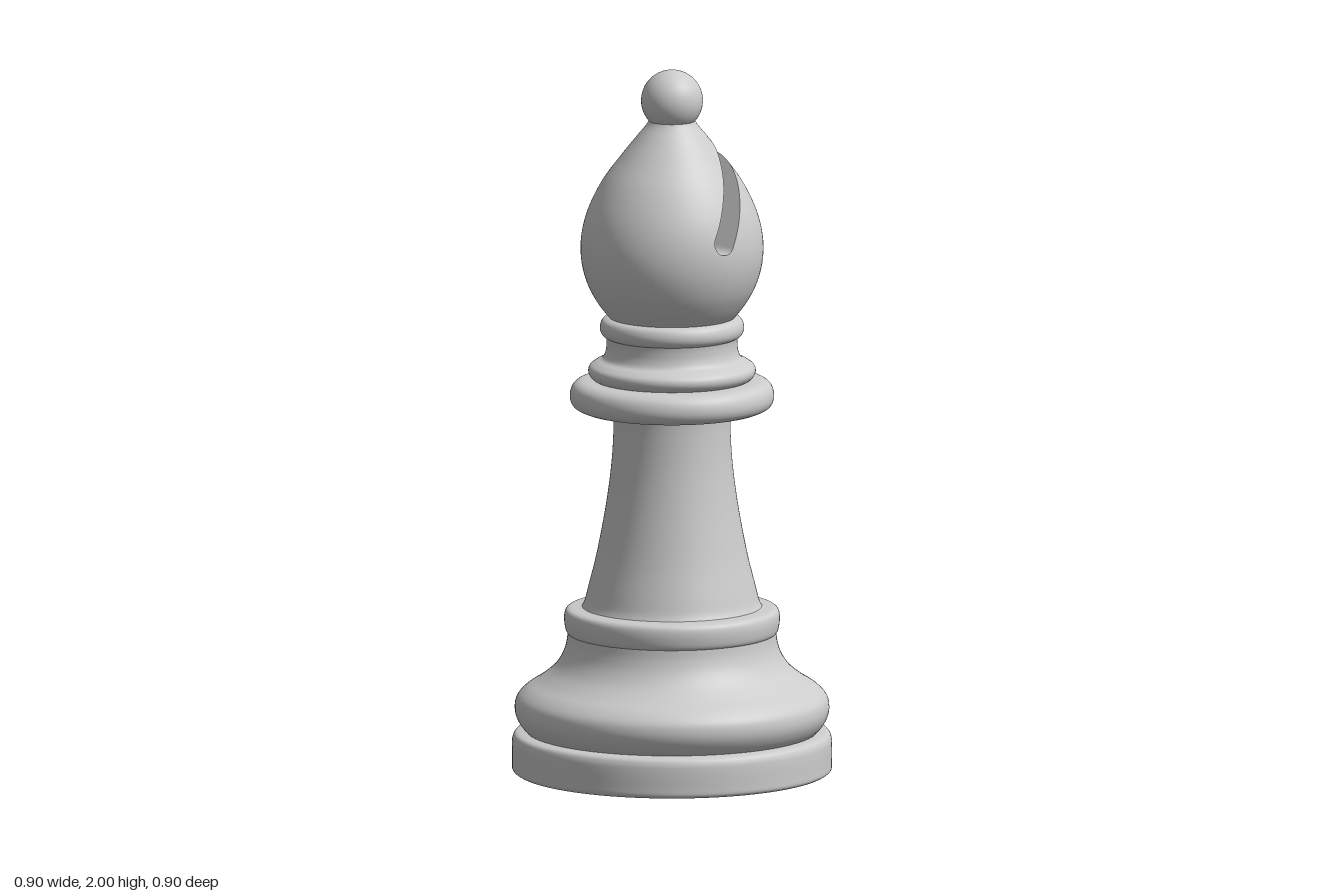
import * as THREE from 'three';

const stone = new THREE.MeshStandardMaterial({ color: 0xcccccc });
stone.name = 'pale grey';

// Lathed part through a few [radius, height] points, smoothed by a spline
function turned(name, pts, smooth = true) {
  const v = pts.map(([r, y]) => new THREE.Vector2(r, y));
  const profile = smooth ? new THREE.SplineCurve(v).getPoints(pts.length * 5) : v;
  profile.forEach(p => { p.x = Math.max(p.x, 0); });
  const mesh = new THREE.Mesh(new THREE.LatheGeometry(profile, 96), stone);
  mesh.name = name;
  return mesh;
}

// Grid surface: fn(v, u) gives a point, optional normalFn gives a normal
function patch(name, rows, cols, fn, normalFn) {
  const pos = [], nor = [], idx = [];
  for (let i = 0; i <= rows; i++) {
    for (let j = 0; j <= cols; j++) {
      pos.push(...fn(i / rows, j / cols));
      if (normalFn) nor.push(...normalFn(i / rows, j / cols));
      if (i < rows && j < cols) {
        const a = i * (cols + 1) + j, b = a + cols + 1;
        idx.push(a, b, a + 1, b, b + 1, a + 1);
      }
    }
  }
  const g = new THREE.BufferGeometry();
  g.setAttribute('position', new THREE.Float32BufferAttribute(pos, 3));
  g.setIndex(idx);
  if (normalFn) g.setAttribute('normal', new THREE.Float32BufferAttribute(nor, 3));
  else g.computeVertexNormals();
  const mesh = new THREE.Mesh(g, stone);
  mesh.name = name;
  return mesh;
}

// Head outline as [height, radius], read by smooth interpolation
const HEAD = [[1.29, 0.172], [1.33, 0.204], [1.38, 0.233], [1.44, 0.252], [1.5, 0.257], [1.56, 0.249],
  [1.62, 0.229], [1.69, 0.192], [1.756, 0.143], [1.81, 0.1], [1.85, 0.068], [1.88, 0.056]];
function radius(y) {
  let k = 0;
  while (k < HEAD.length - 2 && y > HEAD[k + 1][0]) k++;
  const slope = i => {
    const a = HEAD[Math.max(i - 1, 0)], b = HEAD[Math.min(i + 1, HEAD.length - 1)];
    return (b[1] - a[1]) / (b[0] - a[0]);
  };
  const h = HEAD[k + 1][0] - HEAD[k][0], t = (y - HEAD[k][0]) / h, t2 = t * t, t3 = t2 * t;
  return (2 * t3 - 3 * t2 + 1) * HEAD[k][1] + (t3 - 2 * t2 + t) * h * slope(k)
    + (3 * t2 - 2 * t3) * HEAD[k + 1][1] + (t3 - t2) * h * slope(k + 1);
}

// Slanted slot with a round lower end: x of its left (-1) or right (+1) wall
const CX = -0.018, CY = 1.54, R = 0.032, SIN = Math.sin(Math.PI / 3), COS = 0.5;
const slotBottom = CY - R;
function wallX(y, side) {
  const d = y - CY;
  if (d <= -side * R * COS) return CX + side * Math.sqrt(Math.max(R * R - d * d, 0));
  return CX + (side * R + d * COS) / SIN;
}
// Height where a slot wall leaves the head
function exitHeight(side) {
  let lo = 1.6, hi = 1.87;
  for (let i = 0; i < 40; i++) {
    const m = (lo + hi) / 2;
    if (wallX(m, side) < radius(m)) lo = m; else hi = m;
  }
  return lo;
}
const ease = (a, b, t) => a + (b - a) * (1 - Math.cos(Math.PI * t)) / 2;

// Outer head skin between two heights and two (height-dependent) angles
function skin(name, y0, y1, rows, from, to) {
  const at = (v, u) => {
    const y = ease(y0, y1, v);
    return [y, from(y) + (to(y) - from(y)) * u];
  };
  return patch(name, rows, 96, (v, u) => {
    const [y, a] = at(v, u), r = radius(y);
    return [r * Math.cos(a), y, r * Math.sin(a)];
  }, (v, u) => {
    const [y, a] = at(v, u);
    const s = (radius(y + 0.001) - radius(y - 0.001)) / 0.002, l = Math.hypot(1, s);
    return [Math.cos(a) / l, -s / l, Math.sin(a) / l];
  });
}

// Flat inner wall of the slot
function slotWall(name, side, top) {
  return patch(name, 48, 2, (v, u) => {
    const y = ease(slotBottom, top, v), x = wallX(y, side);
    const half = Math.sqrt(Math.max(radius(y) ** 2 - x * x, 0));
    return [x, y, -side * half * (1 - 2 * u)].map((c, i) => (i === 2 ? -c * -1 : c));
  });
}

function createHead() {
  const head = new THREE.Group();
  head.name = 'head';
  const angle = side => y => Math.acos(Math.min(1, wallX(y, side) / radius(y)));
  const leftTop = exitHeight(-1), rightTop = exitHeight(1);
  const zero = () => 0, full = () => 2 * Math.PI;
  const a = angle(-1), b = angle(1);
  head.add(
    skin('headLower', 1.29, slotBottom, 20, zero, full),
    skin('headMain', slotBottom, leftTop, 48, a, y => 2 * Math.PI - a(y)),
    skin('headLip', slotBottom, rightTop, 48, y => -b(y), b),
    skin('headTip', leftTop, 1.88, 10, zero, full),
    slotWallFacing('slotUpperWall', -1, leftTop),
    slotWallFacing('slotLowerWall', 1, rightTop),
  );
  return head;
}

// Walls run along z so that each one faces into the slot
function slotWallFacing(name, side, top) {
  return patch(name, 48, 2, (v, u) => {
    const y = ease(slotBottom, top, v), x = wallX(y, side);
    const half = Math.sqrt(Math.max(radius(y) ** 2 - x * x, 0));
    return [x, y, side * half * (1 - 2 * u)];
  });
}

export function createModel() {
  const model = new THREE.Group();
  model.name = 'chessPiece';

  // Base and foot
  model.add(turned('baseUnderside', [[0, 0], [0.44, 0]], false));
  model.add(turned('baseDisc', [[0.44, 0], [0.449, 0.008], [0.45, 0.03], [0.45, 0.075], [0.447, 0.098],
    [0.437, 0.111], [0.41, 0.116]]));
  model.add(turned('foot', [[0.405, 0.112], [0.424, 0.132], [0.438, 0.158], [0.442, 0.185], [0.435, 0.212],
    [0.41, 0.238], [0.37, 0.264], [0.333, 0.295], [0.309, 0.33], [0.297, 0.365], [0.293, 0.395]]));
  model.add(turned('footRing', [[0.285, 0.388], [0.297, 0.4], [0.302, 0.42], [0.303, 0.442], [0.299, 0.458],
    [0.288, 0.466], [0.262, 0.469], [0.235, 0.472]]));

  // Stem
  model.add(turned('stem', [[0.255, 0.466], [0.245, 0.487], [0.234, 0.53], [0.214, 0.61], [0.196, 0.7],
    [0.181, 0.79], [0.17, 0.88], [0.165, 0.96], [0.165, 1.02], [0.172, 1.035]]));

  // Collar and neck rings
  model.add(turned('collarUnderside', [[0.15, 1.032], [0.255, 1.032]], false));
  model.add(turned('collar', [[0.255, 1.032], [0.276, 1.042], [0.286, 1.06], [0.286, 1.082], [0.277, 1.102],
    [0.258, 1.114], [0.225, 1.118], [0.19, 1.119]]));
  model.add(turned('middleRing', [[0.205, 1.112], [0.225, 1.122], [0.235, 1.138], [0.232, 1.155],
    [0.215, 1.168], [0.195, 1.179], [0.186, 1.2], [0.184, 1.225], [0.186, 1.245]]));
  model.add(turned('upperRing', [[0.175, 1.236], [0.192, 1.242], [0.201, 1.255], [0.202, 1.272],
    [0.195, 1.288], [0.18, 1.296], [0.16, 1.298]]));

  // Slotted head and finial
  model.add(createHead());
  const finial = new THREE.Mesh(new THREE.SphereGeometry(0.087, 48, 32), stone);
  finial.name = 'finial';
  finial.position.y = 1.913;
  model.add(finial);
  return model;
}
